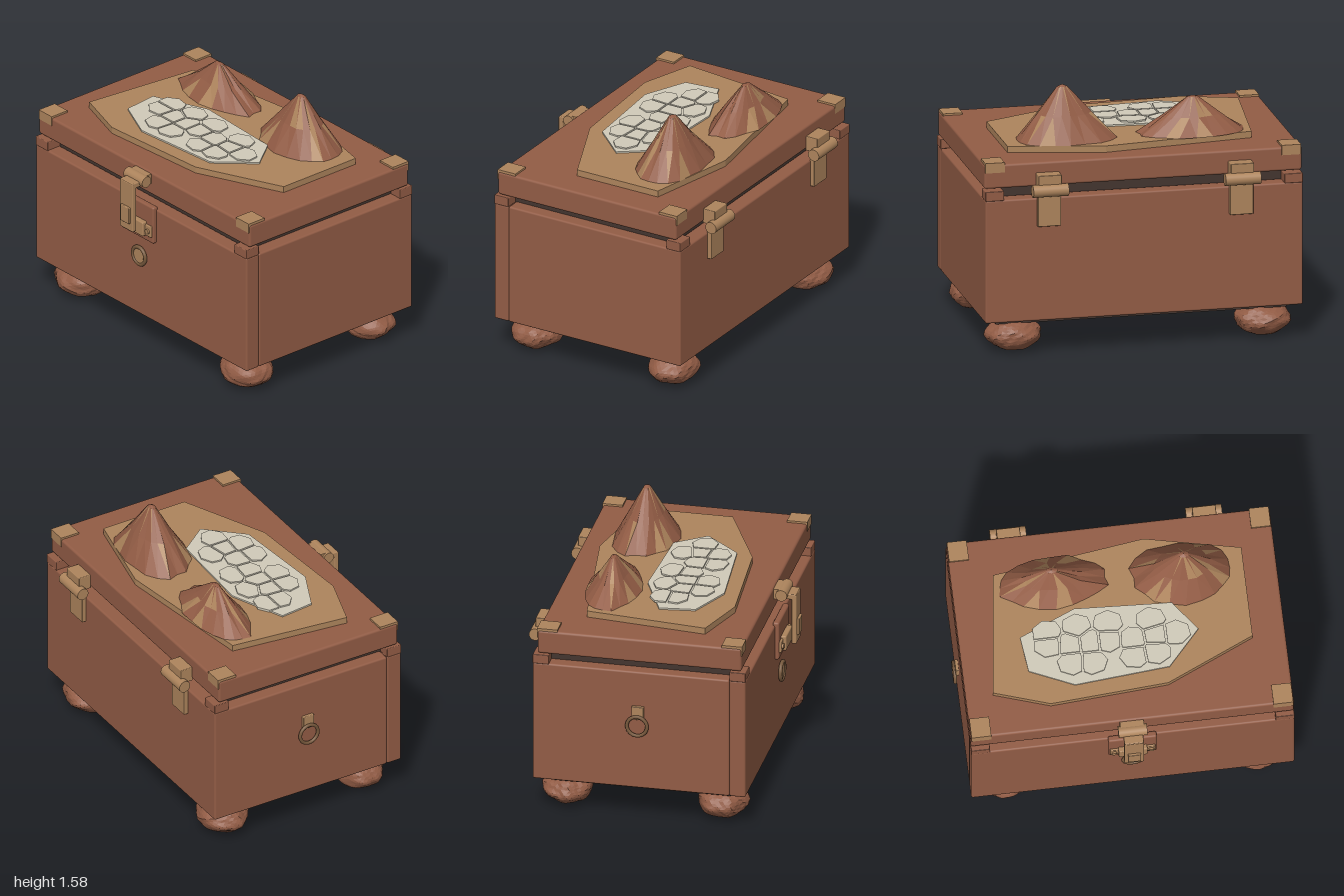
import * as THREE from 'three';
import { RoundedBoxGeometry } from 'three/addons/geometries/RoundedBoxGeometry.js';

const material = (name, color) => {
  const m = new THREE.MeshStandardMaterial({ color });
  m.name = name;
  return m;
};

function seeded(seed) {
  return () => {
    seed = (seed * 16807) % 2147483647;
    return seed / 2147483647;
  };
}

// Convex polygon clipped to the side of a line where (p - o) . n <= 0
function clip(poly, o, n) {
  const out = [];
  poly.forEach((a, i) => {
    const b = poly[(i + 1) % poly.length];
    const da = (a[0] - o[0]) * n[0] + (a[1] - o[1]) * n[1];
    const db = (b[0] - o[0]) * n[0] + (b[1] - o[1]) * n[1];
    if (da <= 0) out.push(a);
    if (da * db < 0) {
      const t = da / (da - db);
      out.push([a[0] + (b[0] - a[0]) * t, a[1] + (b[1] - a[1]) * t]);
    }
  });
  return out;
}

export function createModel() {
  const brown = material('red brown wood', 0x925c45);
  const tan = material('tan brass', 0xad845c);
  const dark = material('dark lining', 0x43352f);
  const rim = material('dull bronze', 0x76583c);
  const pale = material('pale stone', 0xd0cab9);
  const model = new THREE.Group();

  const add = (name, geometry, mat, parent = model) => {
    const mesh = new THREE.Mesh(geometry, mat);
    mesh.name = name;
    parent.add(mesh);
    return mesh;
  };
  // Box given by its limits on each axis, with optional rounded edges
  const box = (name, mat, [x0, x1], [y0, y1], [z0, z1], r = 0, parent = model) => {
    const size = [x1 - x0, y1 - y0, z1 - z0];
    const g = r ? new RoundedBoxGeometry(...size, 2, r) : new THREE.BoxGeometry(...size);
    g.translate((x0 + x1) / 2, (y0 + y1) / 2, (z0 + z1) / 2);
    return add(name, g, mat, parent);
  };
  const barX = (name, mat, [x0, x1], y, z, r, parent = model) => {
    const g = new THREE.CylinderGeometry(r, r, x1 - x0, 24).rotateZ(Math.PI / 2);
    return add(name, g.translate((x0 + x1) / 2, y, z), mat, parent);
  };
  // Flat slab from an [x, z] outline
  const slab = (name, mat, outline, y0, y1, parent = model) => {
    const shape = new THREE.Shape(outline.map(([x, z]) => new THREE.Vector2(x, -z)));
    const g = new THREE.ExtrudeGeometry(shape, { depth: y1 - y0, bevelEnabled: false });
    return add(name, g.rotateX(-Math.PI / 2).translate(0, y0, 0), mat, parent);
  };

  // Chest body: dark core, four panels and corner blocks
  box('innerBox', dark, [-0.885, 0.915], [0.185, 1.05], [-0.58, 0.535]);
  box('frontPanel', brown, [-0.965, 1], [0.22, 0.99], [0.535, 0.635], 0.012);
  box('backPanel', brown, [-0.965, 1], [0.22, 0.99], [-0.68, -0.58], 0.012);
  box('leftPanel', brown, [0.9, 1], [0.22, 0.99], [-0.68, 0.535], 0.012);
  box('rightPanel', brown, [-0.965, -0.865], [0.22, 0.99], [-0.68, 0.535], 0.012);
  for (const x of [[-0.965, -0.85], [0.885, 1]])
    for (const z of [[-0.68, -0.58], [0.535, 0.635]])
      box('cornerBlock', brown, x, [0.985, 1.045], z, 0.005);

  // Lid with metal corner caps
  box('lid', brown, [-0.965, 1], [1.055, 1.205], [-0.65, 0.61], 0.015);
  for (const x of [[-0.96, -0.84], [0.875, 0.995]])
    for (const s of [-1, 1]) {
      const edge = s > 0 ? 0.613 : -0.653;
      const span = (d0, d1) => [edge - s * d0, edge - s * d1].sort((a, b) => a - b);
      box('cornerCapTop', tan, x, [1.2, 1.217], span(0, 0.125));
      box('cornerCapFace', tan, x, [1.155, 1.217], span(0, 0.02));
    }

  // Lumpy feet
  const footAt = (x, z, seed) => {
    const g = new THREE.IcosahedronGeometry(1, 6);
    const p = g.attributes.position;
    const v = new THREE.Vector3();
    for (let i = 0; i < p.count; i++) {
      v.fromBufferAttribute(p, i).normalize();
      const k = 0.96 + 0.035 * Math.sin(5 * v.x + seed) * Math.sin(6 * v.y + 2 * seed)
        + 0.03 * Math.sin(7 * v.z + 3 * v.x + seed) + 0.015 * Math.sin(13 * v.x + 11 * v.y + 12 * v.z);
      v.multiplyScalar(k);
      p.setXYZ(i, v.x * 0.178, v.y * 0.103, v.z * 0.157);
    }
    g.computeVertexNormals();
    add('foot', g, brown).position.set(x, 0.105, z);
  };
  [[-0.755, 0.455], [0.79, 0.455], [-0.755, -0.505], [0.79, -0.505]].forEach(([x, z], i) => footAt(x, z, i + 1));

  // Ground plates of the landscape on the lid
  slab('landPlate', tan, [[-0.71, -0.4], [0.22, -0.525], [0.8, -0.4], [0.8, 0.17],
    [0.26, 0.41], [-0.46, 0.46], [-0.8, 0.35]], 1.2, 1.245);
  slab('stoneBed', pale, [[-0.595, 0.02], [-0.25, -0.125], [0.34, -0.095], [0.48, 0.09],
    [0.28, 0.31], [-0.3, 0.36], [-0.57, 0.24]], 1.24, 1.255);

  // Paving stones: cells around seed points, separated by narrow gaps
  const seeds = [[-0.43, 0.01], [-0.43, 0.09], [-0.25, -0.01], [-0.06, -0.01], [-0.3, 0.1],
    [-0.18, 0.1], [-0.07, 0.1], [-0.3, 0.22], [-0.18, 0.23], [0.08, 0.11],
    [0.2, 0], [0.22, 0.1], [0.34, 0.1], [0.08, 0.22], [0.21, 0.21]];
  const paving = new THREE.Group();
  paving.name = 'paving';
  model.add(paving);
  seeds.forEach((s, i) => {
    let cell = Array.from({ length: 7 }, (_, k) => {
      const a = (k / 7) * Math.PI * 2 + i;
      return [s[0] + 0.095 * Math.cos(a), s[1] + 0.08 * Math.sin(a)];
    });
    for (const t of seeds) {
      if (t === s) continue;
      const d = Math.hypot(t[0] - s[0], t[1] - s[1]);
      const n = [(t[0] - s[0]) / d, (t[1] - s[1]) / d];
      cell = clip(cell, [s[0] + n[0] * (d / 2 - 0.006), s[1] + n[1] * (d / 2 - 0.006)], n);
    }
    slab('pavingStone', pale, cell, 1.25, 1.264, paving);
  });

  // Faceted mountains with brown and tan faces
  const mountain = (name, x, z, rx, rz, height, seed, lean) => {
    const rand = seeded(seed);
    const n = 20;
    const rings = [[1, 0], [0.53, 0.47], [0.1, 0.96]].map(([r, h], level) =>
      Array.from({ length: n }, (_, i) => {
        const a = ((i + level * 0.4) / n) * Math.PI * 2;
        const k = r * (0.88 + 0.14 * rand());
        return [rx * k * Math.cos(a) + lean * h, height * h, -rz * k * Math.sin(a)];
      }));
    const tip = [lean, height, 0];
    const faces = [[], []];
    for (let i = 0; i < n; i++) {
      const j = (i + 1) % n;
      for (let l = 0; l < 2; l++) {
        const [a, b, c, d] = [rings[l][i], rings[l][j], rings[l + 1][j], rings[l + 1][i]];
        faces[rand() < 0.22 ? 1 : 0].push(a, b, d);
        faces[rand() < 0.22 ? 1 : 0].push(b, c, d);
      }
      faces[0].push(rings[2][i], rings[2][j], tip);
    }
    const g = new THREE.BufferGeometry();
    g.setAttribute('position', new THREE.Float32BufferAttribute(faces.flat(2), 3));
    g.addGroup(0, faces[0].length, 0);
    g.addGroup(faces[0].length, faces[1].length, 1);
    g.computeVertexNormals();
    add(name, g, [brown, tan]).position.set(x, 1.245, z);
  };
  mountain('lowMountain', -0.355, -0.31, 0.355, 0.175, 0.225, 11, -0.01);
  mountain('highMountain', 0.425, -0.28, 0.33, 0.21, 0.335, 47, 0.01);

  // Front latch
  const latch = new THREE.Group();
  latch.name = 'latch';
  model.add(latch);
  box('latchPlate', brown, [-0.135, 0.16], [0.762, 1.008], [0.62, 0.66], 0.012, latch);
  box('latchFoot', tan, [-0.125, 0.15], [0.805, 0.88], [0.65, 0.672], 0.006, latch);
  box('latchCatch', tan, [-0.075, 0.1], [0.8, 0.895], [0.65, 0.692], 0.008, latch);
  box('hasp', tan, [-0.047, 0.072], [0.838, 1.16], [0.718, 0.748], 0.006, latch);
  box('haspArm', tan, [-0.047, 0.072], [1.13, 1.165], [0.65, 0.745], 0.006, latch);
  box('haspGrip', tan, [-0.027, 0.053], [0.89, 0.998], [0.73, 0.763], 0.005, latch);
  barX('haspPin', tan, [-0.075, 0.1], 1.162, 0.66, 0.036, latch);
  box('pinMount', tan, [-0.06, 0.085], [1.13, 1.195], [0.6, 0.65], 0, latch);
  for (const x of [-0.1, 0.125]) {
    const rivet = new THREE.CylinderGeometry(0.016, 0.016, 0.014, 12).rotateX(Math.PI / 2);
    add('rivet', rivet, tan, latch).position.set(x, 0.842, 0.677);
  }

  // Round front button
  add('buttonDisc', new THREE.CylinderGeometry(0.056, 0.056, 0.03, 32).rotateX(Math.PI / 2), tan)
    .position.set(0.015, 0.625, 0.637);
  add('buttonRim', new THREE.TorusGeometry(0.057, 0.012, 10, 32), rim).position.set(0.015, 0.625, 0.648);

  // Side pull ring
  box('ringMount', tan, [-0.985, -0.96], [0.68, 0.765], [-0.065, 0.01], 0.005);
  add('pullRing', new THREE.TorusGeometry(0.062, 0.011, 10, 32).rotateY(Math.PI / 2), rim)
    .position.set(-0.989, 0.64, -0.03);

  // Back hinges
  for (const x of [-0.58, 0.61]) {
    const leaf = [x - 0.072, x + 0.072];
    barX('hingeBarrel', tan, [x - 0.11, x + 0.11], 1.045, -0.725, 0.038);
    box('hingeUpperLeaf', tan, leaf, [1.045, 1.14], [-0.73, -0.645], 0.005);
    box('hingeLowerLeaf', tan, leaf, [0.815, 1.04], [-0.708, -0.675], 0.005);
  }
  return model;
}
